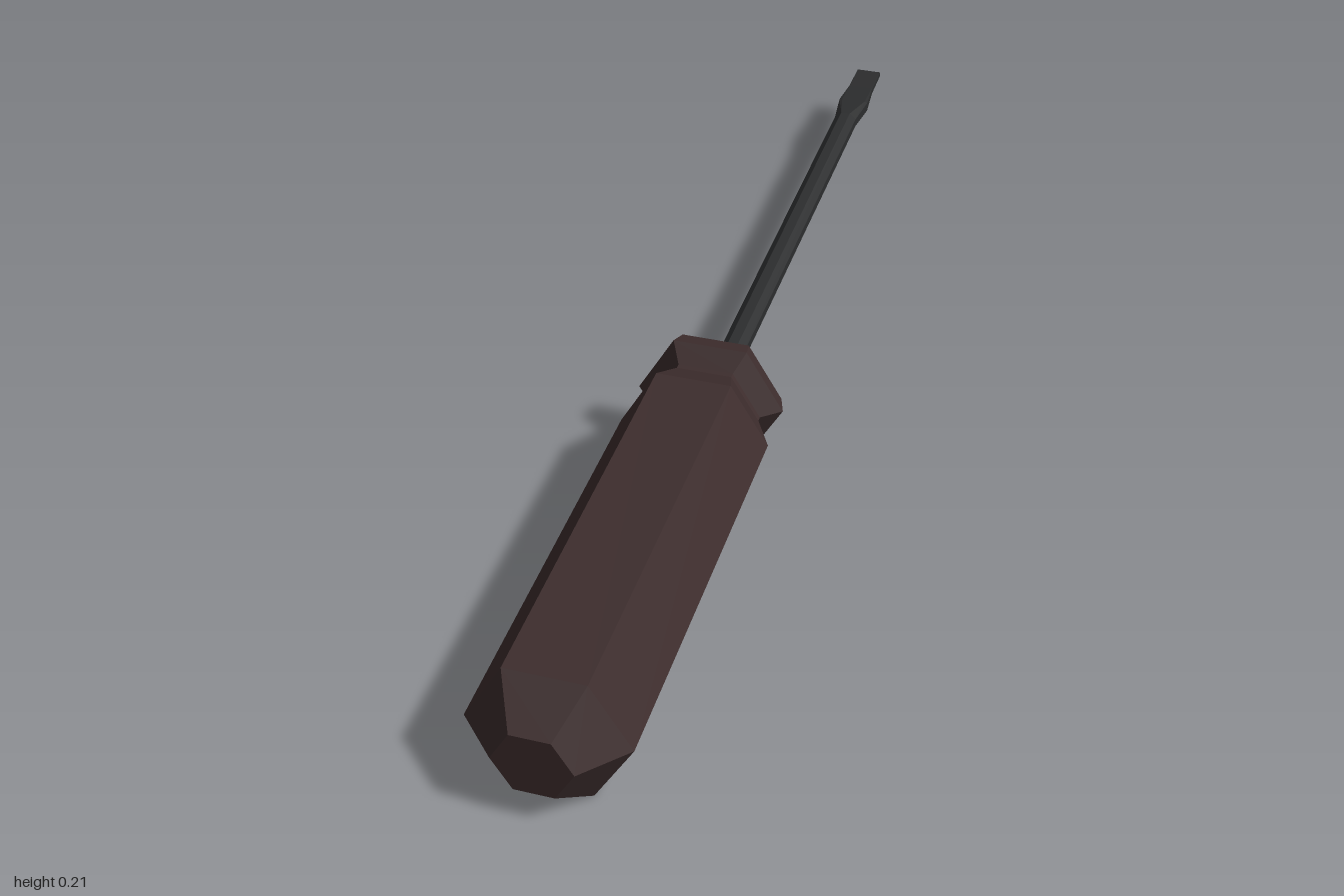
import * as THREE from 'three';

const AXIS_Y = 0.107;

// Skin a run of closed cross-sections, ordered from +z to -z, and cap both ends.
function loft(rings) {
  const pos = [];
  const tri = (a, b, c) => pos.push(...a, ...b, ...c);
  const n = rings[0].length;
  for (let r = 0; r + 1 < rings.length; r++) {
    const a = rings[r], b = rings[r + 1];
    for (let i = 0; i < n; i++) {
      const j = (i + 1) % n;
      tri(a[i], b[i], b[j]);
      tri(a[i], b[j], a[j]);
    }
  }
  const first = rings[0], last = rings[rings.length - 1];
  for (let i = 1; i + 1 < n; i++) {
    tri(first[0], first[i], first[i + 1]);
    tri(last[0], last[i + 1], last[i]);
  }
  const g = new THREE.BufferGeometry();
  g.setAttribute('position', new THREE.Float32BufferAttribute(pos, 3));
  g.computeVertexNormals();
  return g;
}

// Hexagon with corners on the x axis
const hexagon = ([z, r]) => Array.from({ length: 6 }, (_, i) => {
  const a = (i * Math.PI) / 3;
  return [r * Math.cos(a), r * Math.sin(a), z];
});

// Chamfered rectangle: k is the share of each half side left flat
const octagon = ([z, w, h, k]) => [
  [w, -h * k], [w, h * k], [w * k, h], [-w * k, h],
  [-w, h * k], [-w, -h * k], [-w * k, -h], [w * k, -h],
].map(([x, y]) => [x, y, z]);

export function createModel() {
  const handleBrown = new THREE.MeshStandardMaterial({ color: 0x3d2d2d });
  handleBrown.name = 'dark brown handle';
  const steel = new THREE.MeshStandardMaterial({ color: 0x2c2d2e });
  steel.name = 'dark steel';

  const group = new THREE.Group();
  group.name = 'screwdriver';
  const add = (name, rings, material) => {
    const mesh = new THREE.Mesh(loft(rings), material);
    mesh.name = name;
    mesh.position.y = AXIS_Y;
    group.add(mesh);
  };

  // Six-sided grip: bevelled butt, body, narrow neck and flared collar
  add('handle', [
    [1, 0.061], [0.935, 0.124], [0.25, 0.124], [0.192, 0.092],
    [0.183, 0.092], [0.157, 0.124], [0.125, 0.113],
  ].map(hexagon), handleBrown);

  // Round shaft
  add('shaft', [[0.13, 0.021, 0.0195, 0.414], [-0.79, 0.021, 0.0195, 0.414]].map(octagon), steel);

  // Flat tip: flares sideways, thins to a chisel edge
  add('blade', [
    [-0.79, 0.021, 0.0195, 0.414],
    [-0.86, 0.029, 0.011, 0.8],
    [-0.925, 0.024, 0.006, 0.95],
    [-1, 0.024, 0.004, 0.95],
  ].map(octagon), steel);

  return group;
}
